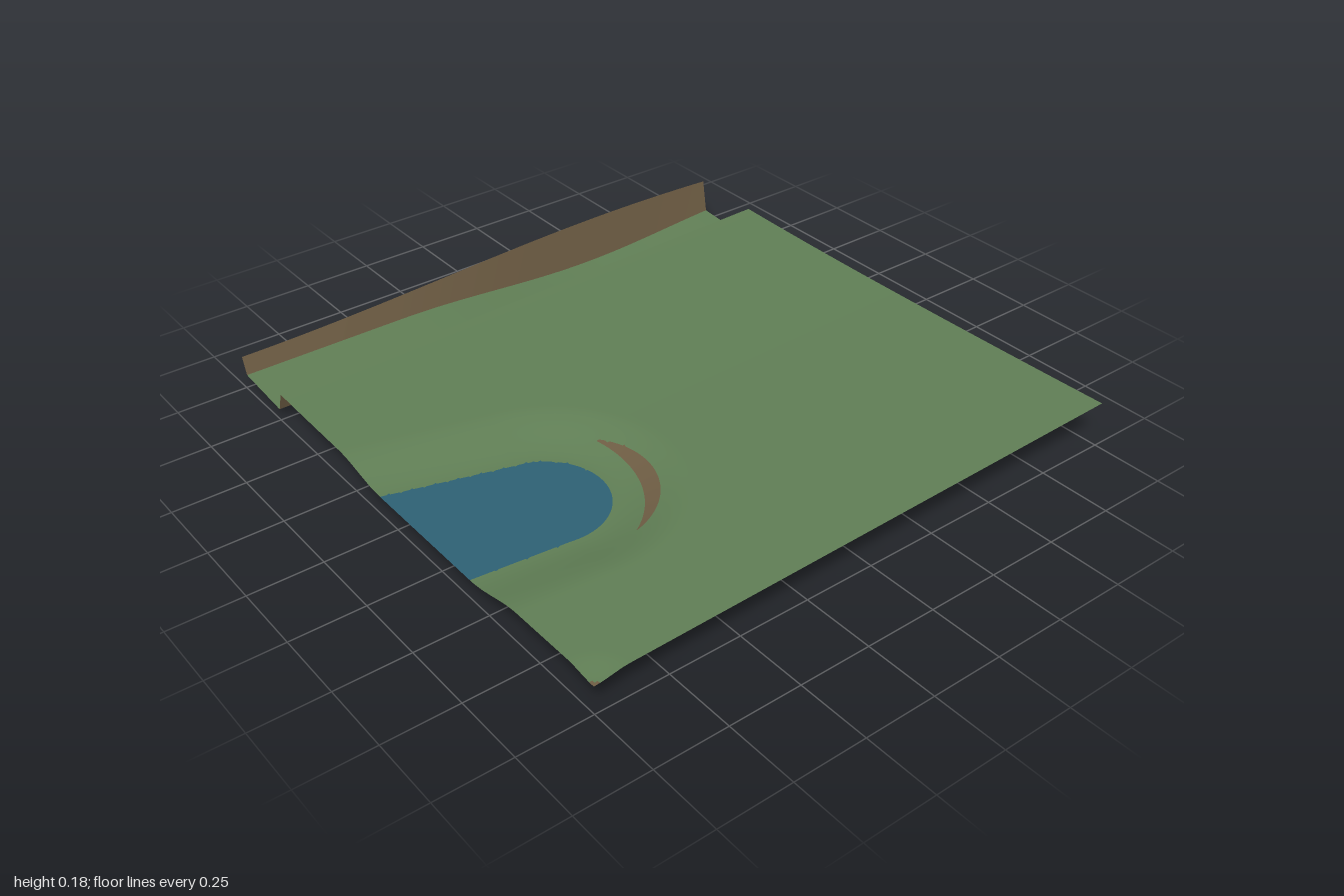
import * as THREE from 'three';

const make = (name, color) => {
  const m = new THREE.MeshStandardMaterial({ color, side: THREE.DoubleSide });
  m.name = name;
  return m;
};

const { clamp, lerp, smoothstep } = THREE.MathUtils;
const RIM = -0.725, FLOOR_NEAR = -0.75, FLOOR_FAR = -0.98;

// Signed distance to the shoreline: a tapered capsule running off the right edge
function shore(x, z) {
  const ax = -1.1, az = 0.14, dx = 0.47, dz = 0.09;
  const t = clamp(((x - ax) * dx + (z - az) * dz) / (dx * dx + dz * dz), 0, 1);
  return Math.hypot(x - ax - dx * t, z - az - dz * t) - lerp(0.255, 0.212, t);
}

// Negative inside the bare crescent on the steep bank
function crescent(x, z) {
  const a = (Math.atan2(z - 0.23, x + 0.63) - 0.37) / 0.84;
  return Math.abs(shore(x, z) - 0.12) - 0.027 * (1 - a * a);
}

// Gently rising meadow, sunk around the pond and dipped at one corner
function meadowHeight(x, z) {
  const base = 0.129 + 0.025 * x + (z > 0 ? 0.01 : 0.02) * z * z;
  const corner = 0.013 * (1 - smoothstep(Math.hypot(x + 1, z - 1), 0, 0.12));
  return lerp(0.07, base - corner, smoothstep(shore(x, z), 0, 0.24));
}

// Channel floor sinks towards x = 0.4; the far bank has its own crest line
const floorHeight = (x) => 0.024 - 0.021 * Math.cos((Math.PI * Math.max(x - 0.4, -0.8)) / 0.8);
const crestHeight = (x) => 0.155 - 0.03 * Math.cos((Math.PI * (x + 1)) / 1.6);

// Pull grid points that lie near a boundary onto it, for clean colour edges
function snap(p, field, reach) {
  const e = 1e-4, f = field(p.x, p.z);
  const gx = (field(p.x + e, p.z) - f) / e, gz = (field(p.x, p.z + e) - f) / e;
  const g = gx * gx + gz * gz;
  if (g < 0.01 || Math.abs(f) / Math.sqrt(g) > reach) return;
  if (p.x > -0.999) p.x -= (f * gx) / g;
  p.z -= (f * gz) / g;
}

// Grid surface from z0 to z1; pick() returns a material index per triangle
function sheet(name, z0, z1, nx, nz, height, materials, pick = () => 0, fields = []) {
  const pos = [], lists = materials.map(() => []);
  for (let j = 0; j <= nz; j++) {
    for (let i = 0; i <= nx; i++) {
      const p = { x: -1 + (2 * i) / nx, z: lerp(z0, z1, j / nz) };
      for (const field of fields) snap(p, field, 1 / nx);
      pos.push(p.x, height(p.x, p.z), p.z);
    }
  }
  const add = (...tri) => {
    const x = tri.reduce((s, k) => s + pos[k * 3], 0) / 3;
    const z = tri.reduce((s, k) => s + pos[k * 3 + 2], 0) / 3;
    lists[pick(x, z)].push(...tri);
  };
  for (let j = 0; j < nz; j++) {
    for (let i = 0; i < nx; i++) {
      const a = j * (nx + 1) + i, b = a + nx + 1;
      add(a, b, a + 1);
      add(a + 1, b, b + 1);
    }
  }
  const g = new THREE.BufferGeometry();
  g.setAttribute('position', new THREE.Float32BufferAttribute(pos, 3));
  g.setIndex(lists.flat());
  let start = 0;
  lists.forEach((l, k) => {
    g.addGroup(start, l.length, k);
    start += l.length;
  });
  g.computeVertexNormals();
  const mesh = new THREE.Mesh(g, materials);
  mesh.name = name;
  return mesh;
}

export function createModel() {
  const grass = make('grass', 0x5f7d54);
  const earth = make('earth', 0x6d5c43);
  const water = make('water', 0x2d6073);
  const group = new THREE.Group();
  group.name = 'terrain';

  // Meadow with pond, bare crescent and bare corner
  const pickMeadow = (x, z) => {
    if (shore(x, z) < 0) return 2;
    return crescent(x, z) < 0 || z - x > 1.975 ? 1 : 0;
  };
  group.add(sheet('meadow', RIM, 1, 200, 172, meadowHeight,
    [grass, earth, water], pickMeadow, [shore, crescent]));

  // Channel: near bank, floor and far bank
  const farFloor = (x) => floorHeight(x) + 0.018;
  const between = (z0, h0, z1, h1) => (x, z) => lerp(h0(x), h1(x), (z - z0) / (z1 - z0));
  const rim = (x) => meadowHeight(x, RIM);
  group.add(sheet('nearBank', FLOOR_NEAR, RIM, 100, 2,
    between(FLOOR_NEAR, floorHeight, RIM, rim), [earth]));
  group.add(sheet('channelFloor', FLOOR_FAR, FLOOR_NEAR, 100, 8,
    between(FLOOR_FAR, farFloor, FLOOR_NEAR, floorHeight), [grass]));
  group.add(sheet('farBank', -1, FLOOR_FAR, 100, 2,
    between(-1, crestHeight, FLOOR_FAR, farFloor), [earth]));
  return group;
}
